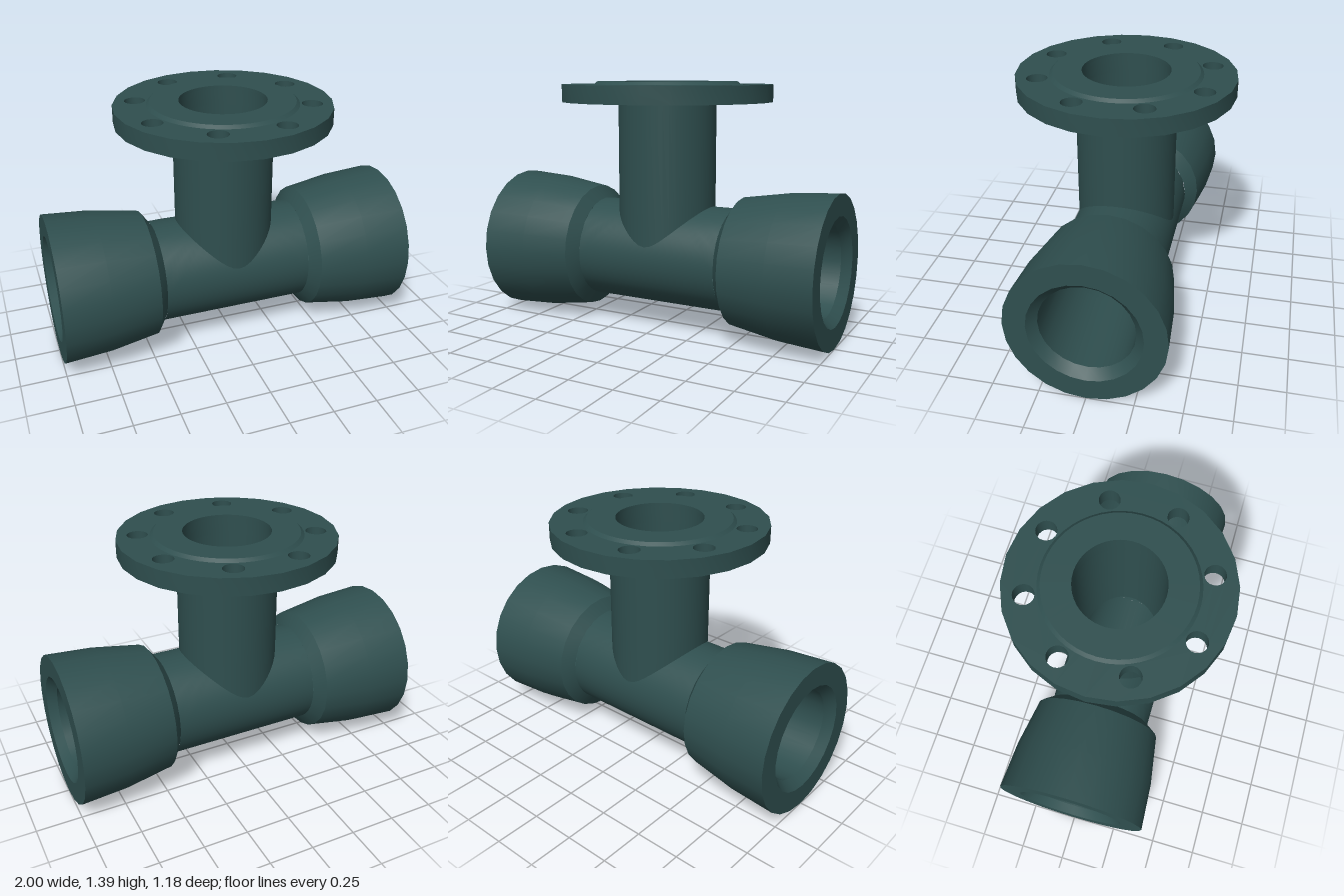
import * as THREE from 'three';
import { toCreasedNormals } from 'three/addons/utils/BufferGeometryUtils.js';

const CY = 0.418;                    // height of the run axis
const RUN = 0.287, RUN_BORE = 0.25;  // straight run, outer and inner radius
const NECK = 0.275, NECK_BORE = 0.238;
const HALF = 0.42;                   // half length of the straight run
const FLANGE_Y = 1.285, FLANGE_H = 0.095, FLANGE_R = 0.59;

const lathe = (pts, segs, start = 0, sweep = Math.PI * 2) =>
  new THREE.LatheGeometry(pts.map(p => new THREE.Vector2(...p)), segs, start, sweep);

// Upper half of the run: a saddle stretched from the branch opening to the half-pipe's border
function saddle(R, b, inward) {
  const N = 48, S = 8, pos = [], nor = [], idx = [], sign = inward ? -1 : 1;
  for (let s = 0; s <= S; s++) for (let i = 0; i <= N; i++) {
    const t = i / N * Math.PI * 2, c = Math.cos(t), d = Math.sin(t), m = Math.max(Math.abs(c), Math.abs(d));
    const x = THREE.MathUtils.lerp(b * c, HALF * c / m, s / S);
    const a = THREE.MathUtils.lerp(Math.asin(b * d / R), Math.PI / 2 * d / m, s / S);
    pos.push(x, CY + R * Math.cos(a), R * Math.sin(a));
    nor.push(0, sign * Math.cos(a), sign * Math.sin(a));
    if (s < S && i < N) {
      const p = s * (N + 1) + i, q = p + N + 1;
      if (inward) idx.push(p, q, p + 1, q, q + 1, p + 1);
      else idx.push(p, p + 1, q, q, p + 1, q + 1);
    }
  }
  const g = new THREE.BufferGeometry();
  g.setAttribute('position', new THREE.Float32BufferAttribute(pos, 3));
  g.setAttribute('normal', new THREE.Float32BufferAttribute(nor, 3));
  g.setIndex(idx);
  return g;
}

// Branch wall whose lower rim follows the curve of the run
function branchWall(r, R, inward) {
  const pts = [[r, 0], [r, FLANGE_Y]];
  const g = lathe(inward ? pts.reverse() : pts, 48);
  const p = g.attributes.position;
  for (let i = 0; i < p.count; i++) {
    if (p.getY(i) < 0.01) p.setY(i, CY + Math.sqrt(R * R - p.getZ(i) ** 2));
  }
  return g;
}

export function createModel() {
  const group = new THREE.Group();
  const material = new THREE.MeshStandardMaterial({ color: 0x2f4f4f });
  const add = (name, geometry) => {
    const mesh = new THREE.Mesh(geometry, material);
    mesh.name = name;
    group.add(mesh);
    return mesh;
  };

  // Straight run: upper saddles and lower half-pipes, outside and bore
  add('runUpper', saddle(RUN, NECK, false));
  add('runBoreUpper', saddle(RUN_BORE, NECK_BORE, true));
  const halfPipe = (name, pts) => {
    const mesh = add(name, lathe(pts, 24, 0, Math.PI).rotateZ(-Math.PI / 2));
    mesh.position.y = CY;
  };
  halfPipe('runLower', [[RUN, -HALF], [RUN, HALF]]);
  halfPipe('runBoreLower', [[RUN_BORE, HALF], [RUN_BORE, -HALF]]);

  // Flared sockets at both ends, with a chamfered mouth
  const socket = toCreasedNormals(lathe([
    [RUN, HALF], [0.357, 0.47], [0.4, 0.74], [0.417, 1],
    [0.297, 1], [RUN_BORE, 0.95], [RUN_BORE, HALF],
  ], 24), 0.45);
  for (const [name, side] of [['leftSocket', 1], ['rightSocket', -1]]) {
    const mesh = add(name, socket);
    mesh.rotation.z = -side * Math.PI / 2;
    mesh.position.y = CY;
  }

  // Branch neck
  add('neck', branchWall(NECK, RUN, false));
  add('neckBore', branchWall(NECK_BORE, RUN_BORE, true));

  // Flange plate with a ring of eight bolt holes
  const ring = (r, n, cx = 0, cy = 0) => Array.from({ length: n }, (_, i) => {
    const a = i / n * Math.PI * 2;
    return new THREE.Vector2(cx + r * Math.cos(a), cy + r * Math.sin(a));
  });
  const plate = new THREE.Shape(ring(FLANGE_R, 24));
  plate.holes.push(new THREE.Path(ring(NECK_BORE, 48)));
  for (let i = 0; i < 8; i++) {
    const a = (i + 0.5) * Math.PI / 4;
    plate.holes.push(new THREE.Path(ring(0.056, 20, 0.475 * Math.cos(a), 0.475 * Math.sin(a))));
  }
  const flange = new THREE.ExtrudeGeometry(plate, { depth: FLANGE_H, bevelEnabled: false });
  flange.rotateX(-Math.PI / 2);
  add('flange', toCreasedNormals(flange, 0.45)).position.y = FLANGE_Y;

  // Raised sealing face
  const top = FLANGE_Y + FLANGE_H;
  add('raisedFace', toCreasedNormals(lathe([
    [0.41, top], [0.392, top + 0.016], [NECK_BORE, top + 0.016], [NECK_BORE, top],
  ], 48), 0.45));

  return group;
}
